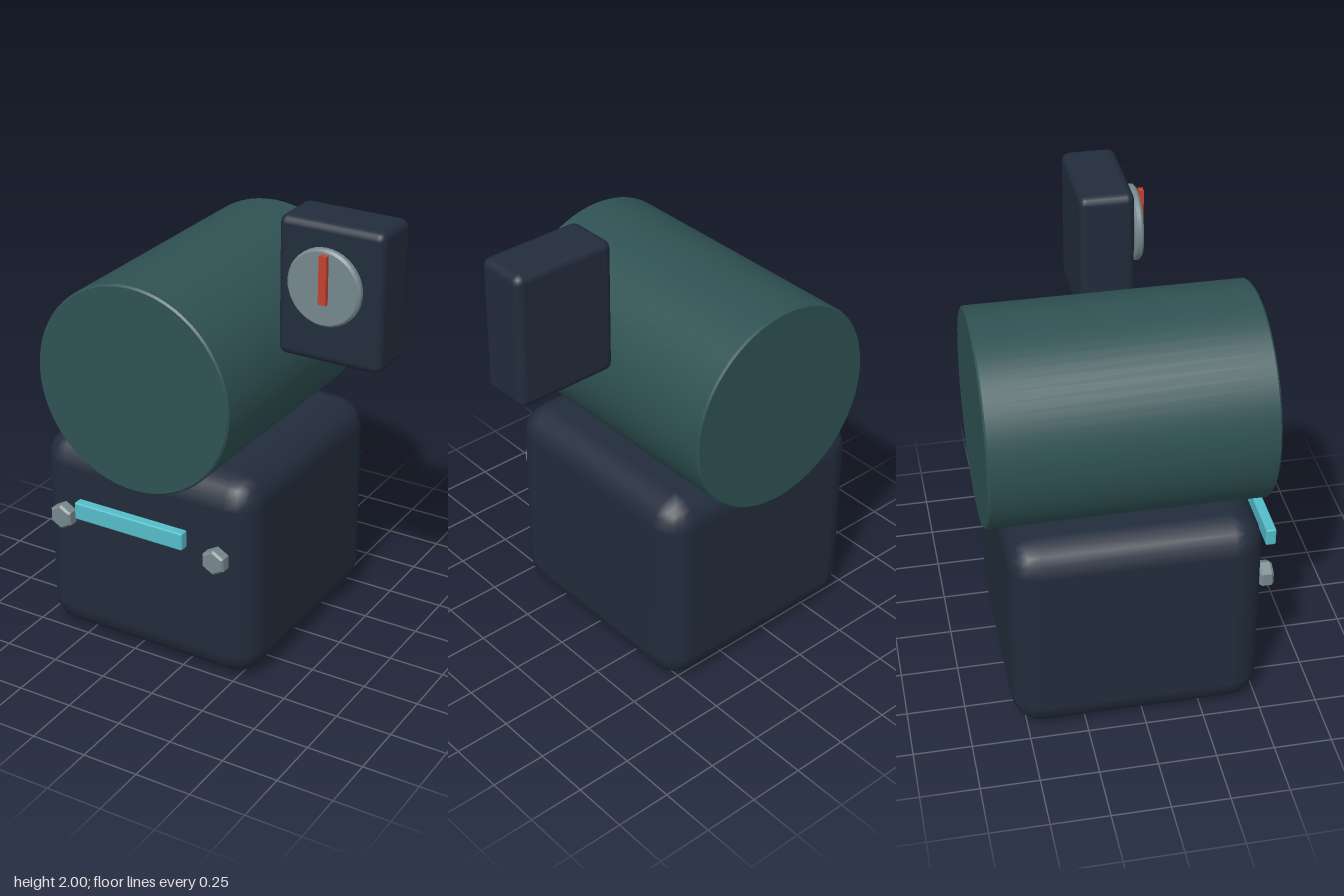
import * as THREE from 'three';
import { toCreasedNormals } from 'three/addons/utils/BufferGeometryUtils.js';
import { RoundedBoxGeometry } from 'three/addons/geometries/RoundedBoxGeometry.js';

function material(name, color) {
  const m = new THREE.MeshStandardMaterial({ color });
  m.name = name;
  return m;
}

// Solid disc or drum with bevelled rims, its axis along z
function drum(radius, depth, bevel, sides) {
  const h = depth / 2;
  const profile = [
    [0, -h], [radius - bevel, -h], [radius, -h + bevel],
    [radius, h - bevel], [radius - bevel, h], [0, h],
  ].map(([x, y]) => new THREE.Vector2(x, y));
  const geometry = new THREE.LatheGeometry(profile, sides).rotateX(Math.PI / 2);
  return toCreasedNormals(geometry, 0.6);
}

export function createModel() {
  const navy = material('navy', 0x222c3c);
  const teal = material('dark teal', 0x2f5153);
  const steel = material('steel grey', 0x76878c);
  const cyan = material('cyan', 0x53bcc8);
  const red = material('red', 0xc0432f);

  const group = new THREE.Group();
  const add = (name, geometry, mat, x, y, z) => {
    const mesh = new THREE.Mesh(geometry, mat);
    mesh.name = name;
    mesh.position.set(x, y, z);
    group.add(mesh);
  };

  const cx = -0.19; // centre line of the base and drum

  // Rounded base and the drum resting in its top
  add('base', new RoundedBoxGeometry(1.06, 0.95, 1.07, 2, 0.13), navy, cx, 0.475, -0.025);
  add('drum', drum(0.46, 1.185, 0.008, 64), teal, cx, 1.287, -0.03);

  // Light bar and hex bolts on the base front
  add('lightBar', new RoundedBoxGeometry(0.535, 0.08, 0.045, 2, 0.008), cyan, cx, 0.69, 0.598);
  for (const side of [-1, 1]) {
    add(side < 0 ? 'rightBolt' : 'leftBolt', drum(0.058, 0.06, 0.01, 6), steel, cx + side * 0.382, 0.6, 0.54);
  }

  // Gauge: housing, dial and needle
  add('gaugeHousing', new RoundedBoxGeometry(0.47, 0.6, 0.235, 2, 0.035), navy, 0.485, 1.7, 0.028);
  add('gaugeDial', drum(0.164, 0.038, 0.01, 40), steel, 0.485, 1.75, 0.181);
  add('gaugeNeedle', new THREE.BoxGeometry(0.034, 0.205, 0.02), red, 0.496, 1.795, 0.218);

  return group;
}
